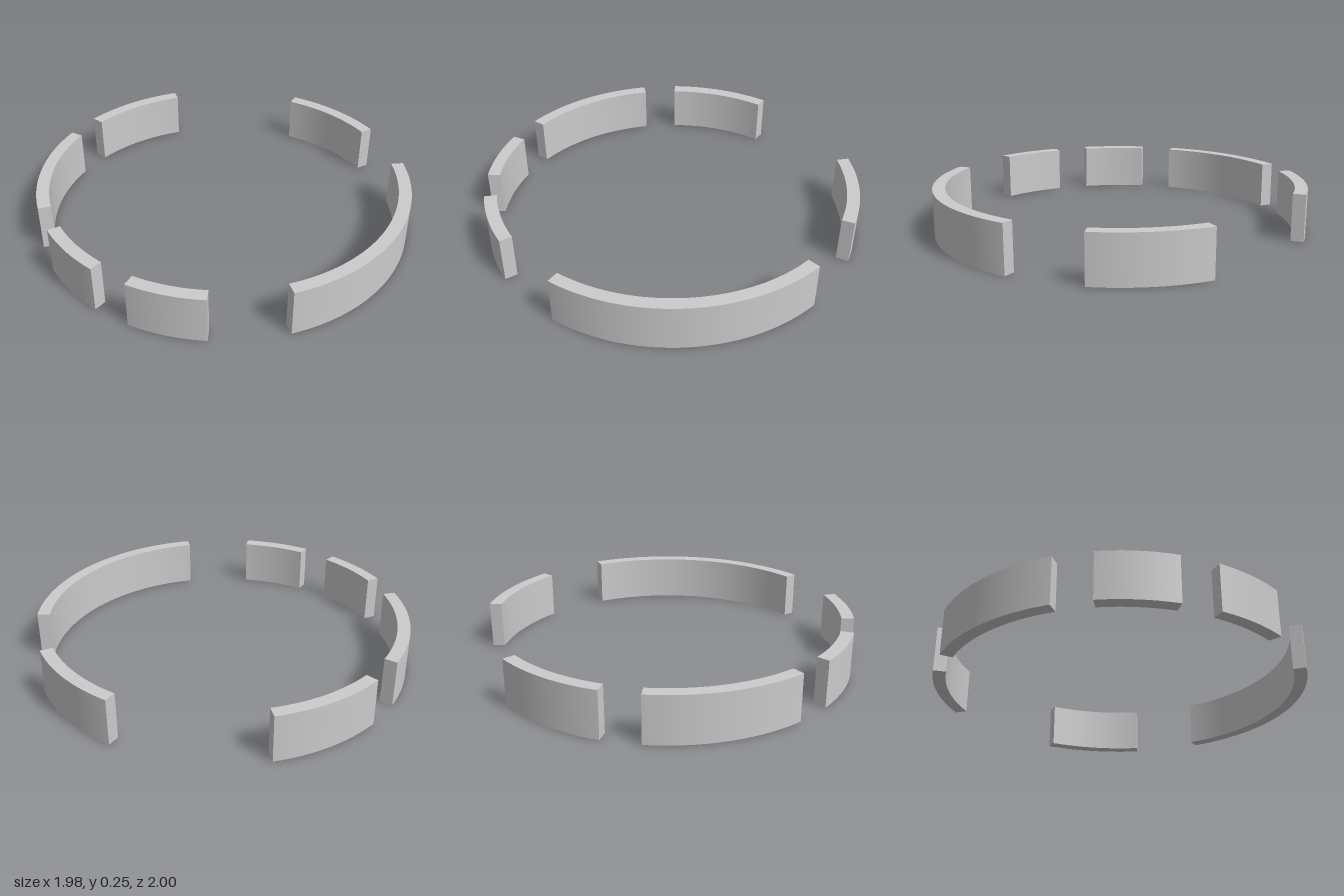
import * as THREE from 'three';
import { toCreasedNormals } from 'three/addons/utils/BufferGeometryUtils.js';

const OUTER = 1, INNER = 0.933, HEIGHT = 0.25;
const CENTRE_X = 0.01; // the missing arc on +x shifts the ring's centre
const STEP = Math.PI / 16; // arcs start and end on 32nds of a turn

// Arc spans in steps, measured from +x towards +z
const ARCS = [
  ['frontLeftArc', 1, 8],
  ['frontRightArc', 10, 12],
  ['rightFrontArc', 13, 15],
  ['rightBackArc', 16, 20],
  ['backRightArc', 21, 24],
  ['backLeftArc', 28, 31],
];

// Upright curved wall with flat ends
function arcWall(from, to) {
  const a = from * STEP, b = to * STEP;
  const shape = new THREE.Shape();
  shape.absarc(0, 0, OUTER, a, b, false);
  shape.absarc(0, 0, INNER, b, a, true);
  shape.closePath();
  const geometry = new THREE.ExtrudeGeometry(shape, {
    depth: HEIGHT,
    bevelEnabled: false,
    curveSegments: (to - from) * 6,
  });
  geometry.rotateX(Math.PI / 2).translate(CENTRE_X, HEIGHT, 0);
  return toCreasedNormals(geometry, 0.5);
}

export function createModel() {
  const group = new THREE.Group();
  group.name = 'segmentedRing';
  const material = new THREE.MeshStandardMaterial({ color: 0xcccccc });
  for (const [name, from, to] of ARCS) {
    const mesh = new THREE.Mesh(arcWall(from, to), material);
    mesh.name = name;
    group.add(mesh);
  }
  return group;
}
